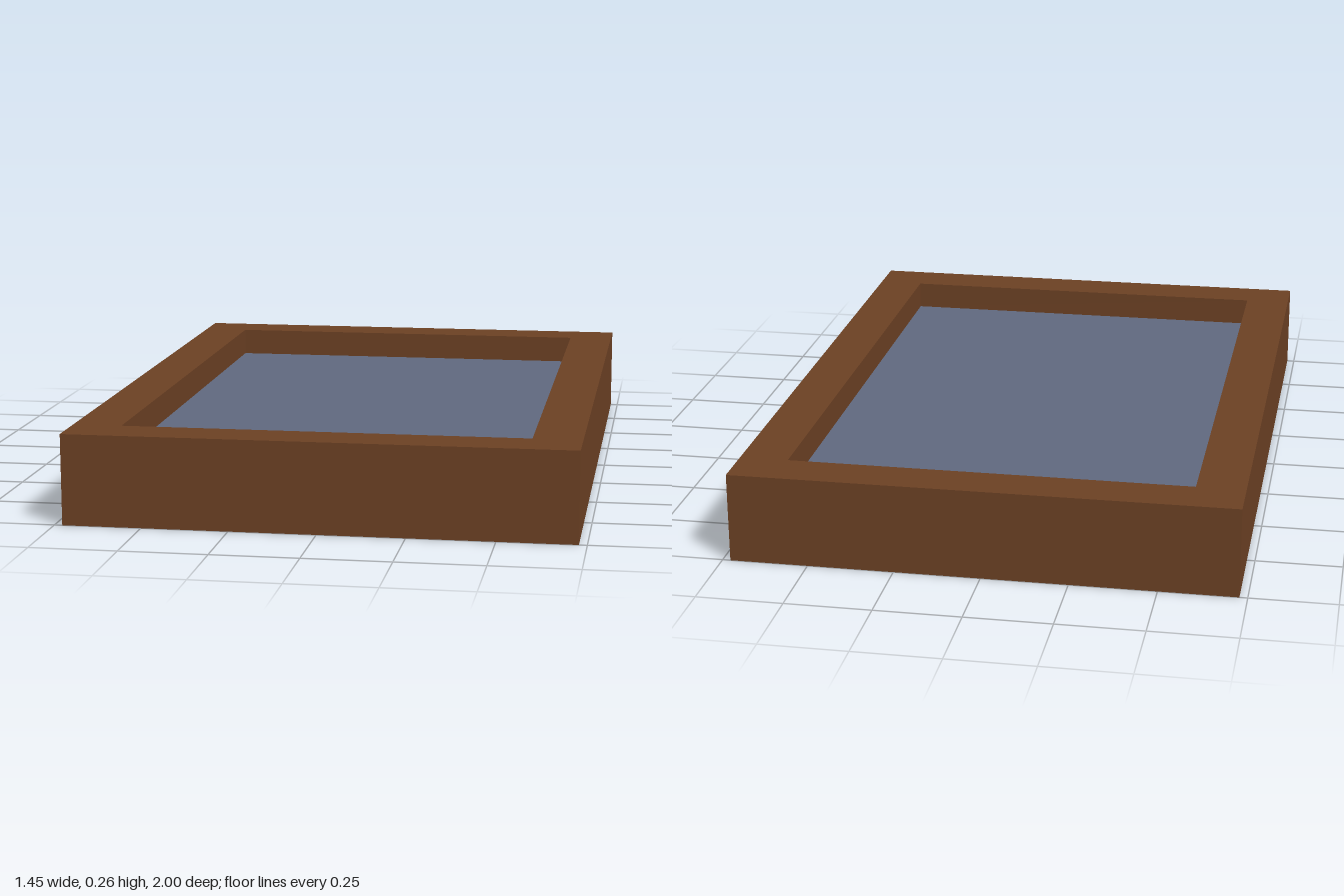
import * as THREE from 'three';

const wood = new THREE.MeshStandardMaterial({ color: 0x6b4023, side: THREE.DoubleSide });
wood.name = 'brown wood';
const slate = new THREE.MeshStandardMaterial({ color: 0x5f687e, side: THREE.DoubleSide });
slate.name = 'blue grey panel';

const OUTER = [0.727, 1], INNER = [0.586, 0.862]; // half width, half depth
const HEIGHT = 0.263, PANEL_Y = 0.178;

// Flat-shaded rectangular band joining one rectangle to another
function band([x0, z0], y0, [x1, z1], y1) {
  const signs = [[1, 1], [1, -1], [-1, -1], [-1, 1]];
  const points = [];
  signs.forEach(([sx, sz], i) => {
    const [tx, tz] = signs[(i + 1) % 4];
    const a = [sx * x0, y0, sz * z0], b = [tx * x0, y0, tz * z0];
    const c = [tx * x1, y1, tz * z1], d = [sx * x1, y1, sz * z1];
    points.push(...a, ...b, ...c, ...a, ...c, ...d);
  });
  const geometry = new THREE.BufferGeometry();
  geometry.setAttribute('position', new THREE.Float32BufferAttribute(points, 3));
  geometry.computeVertexNormals();
  return geometry;
}

export function createModel() {
  const model = new THREE.Group();
  model.name = 'framedTray';

  const add = (name, geometry, material) => {
    const mesh = new THREE.Mesh(geometry, material);
    mesh.name = name;
    model.add(mesh);
    return mesh;
  };

  // Thin-walled frame, open underneath
  add('outerWalls', band(OUTER, 0, OUTER, HEIGHT), wood);
  add('topRim', band(OUTER, HEIGHT, INNER, HEIGHT), wood);
  add('innerWalls', band(INNER, HEIGHT, INNER, PANEL_Y), wood);

  // Sunken panel
  const panel = new THREE.PlaneGeometry(INNER[0] * 2, INNER[1] * 2).rotateX(-Math.PI / 2);
  add('sunkenPanel', panel, slate).position.y = PANEL_Y;

  return model;
}
